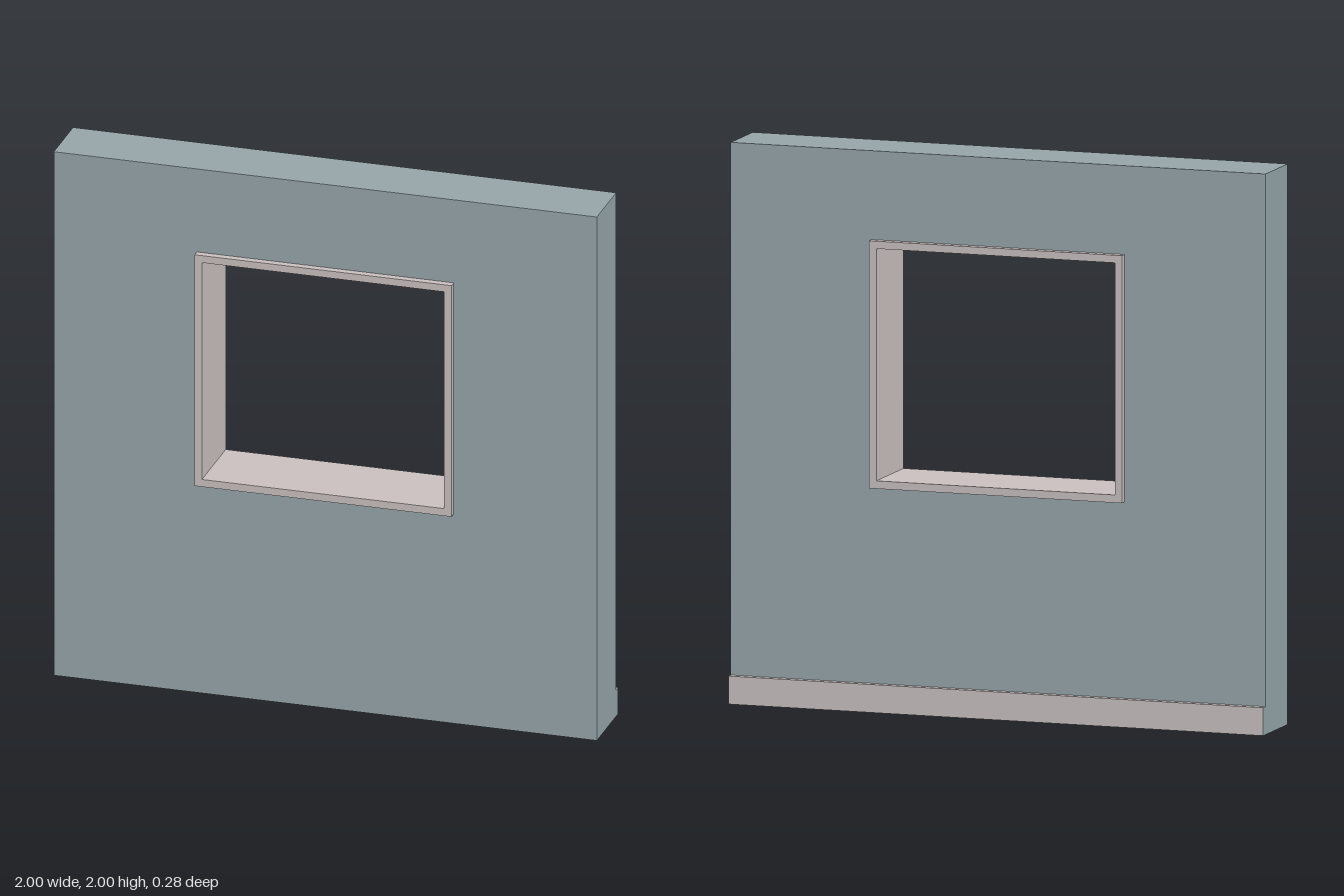
import * as THREE from 'three';

const wallMaterial = new THREE.MeshStandardMaterial({ color: 0x95a4a8 });
const trimMaterial = new THREE.MeshStandardMaterial({ color: 0xc8bfbe });

const WALL_DEPTH = 0.23;
const FRAME_DEPTH = 0.284;
const SKIRTING = { height: 0.1, depth: 0.025 };
const outer = { x0: -0.473, x1: 0.473, y0: 0.8, y1: 1.683 };
const inner = { x0: -0.446, x1: 0.446, y0: 0.828, y1: 1.656 };

function rectangle(PathType, { x0, x1, y0, y1 }) {
  return new PathType([[x0, y0], [x1, y0], [x1, y1], [x0, y1]].map(([x, y]) => new THREE.Vector2(x, y)));
}

// Rectangular slab with a rectangular opening, centred in z
function openSlab(name, outline, opening, depth, material) {
  const shape = rectangle(THREE.Shape, outline);
  shape.holes.push(rectangle(THREE.Path, opening));
  const geometry = new THREE.ExtrudeGeometry(shape, { depth, bevelEnabled: false });
  geometry.translate(0, 0, -depth / 2);
  const mesh = new THREE.Mesh(geometry, material);
  mesh.name = name;
  return mesh;
}

export function createModel() {
  const model = new THREE.Group();
  model.name = 'windowWall';

  // Wall with its opening, and the lining that projects from both faces
  model.add(openSlab('wall', { x0: -1, x1: 1, y0: 0, y1: 2 }, outer, WALL_DEPTH, wallMaterial));
  model.add(openSlab('windowFrame', outer, inner, FRAME_DEPTH, trimMaterial));

  // Skirting on the back: trim on top and back, wall colour on ends and underside
  const skirting = new THREE.Mesh(
    new THREE.BoxGeometry(2, SKIRTING.height, SKIRTING.depth),
    [wallMaterial, wallMaterial, trimMaterial, wallMaterial, trimMaterial, trimMaterial]
  );
  skirting.name = 'skirtingBoard';
  skirting.position.set(0, SKIRTING.height / 2, -(WALL_DEPTH + SKIRTING.depth) / 2);
  model.add(skirting);

  return model;
}
